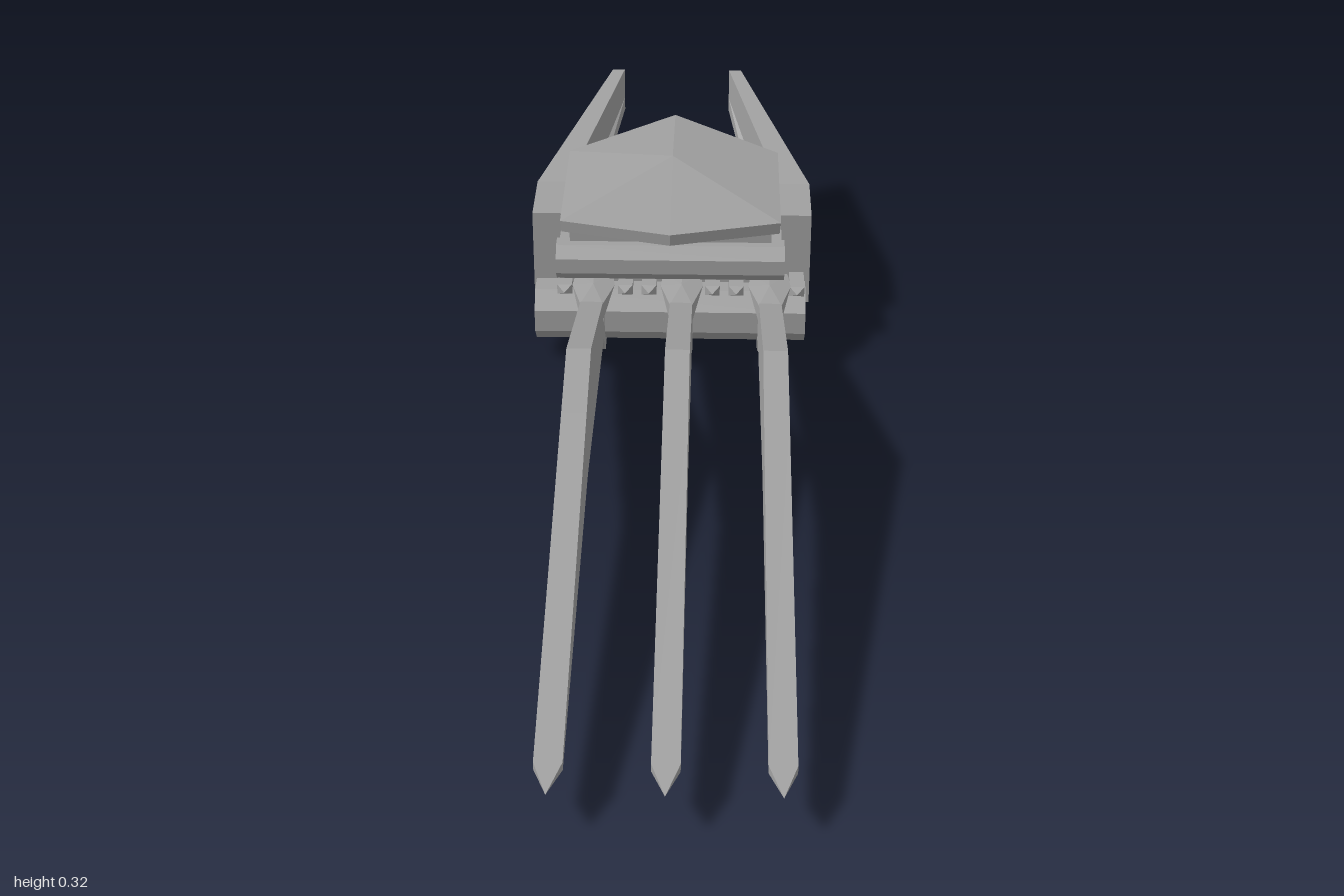
import * as THREE from 'three';
import { ConvexGeometry } from 'three/addons/geometries/ConvexGeometry.js';

export function createModel() {
  const root = new THREE.Group();
  root.name = 'clawGauntlet';
  const steel = new THREE.MeshStandardMaterial({ color: 0xa0a0a0, flatShading: true });
  steel.name = 'steel grey';

  const add = (name, geo, x = 0, y = 0, z = 0) => {
    const m = new THREE.Mesh(geo, steel);
    m.name = name;
    m.position.set(x, y, z);
    root.add(m);
    return m;
  };
  const hull = (name, pts, x = 0) =>
    add(name, new ConvexGeometry(pts.map(p => new THREE.Vector3(...p))), x);
  const box = (name, w, h, d, x, y, z) => add(name, new THREE.BoxGeometry(w, h, d), x, y, z);
  // cylinder lying along x
  const rod = (name, r, len, sides, x, y, z) => {
    const g = new THREE.CylinderGeometry(r, r, len, sides);
    g.rotateY(Math.PI / sides);
    g.rotateZ(Math.PI / 2);
    return add(name, g, x, y, z);
  };
  // skin over rings with equal point counts, capped at both ends
  const loft = (rings) => {
    const n = rings[0].length, pos = rings.flat(2), idx = [];
    for (let r = 0; r < rings.length - 1; r++) {
      for (let i = 0; i < n; i++) {
        const a = r * n + i, b = r * n + (i + 1) % n;
        idx.push(a, b, b + n, a, b + n, a + n);
      }
    }
    const last = (rings.length - 1) * n;
    for (let i = 1; i < n - 1; i++) idx.push(0, i + 1, i, last, last + i, last + i + 1);
    const g = new THREE.BufferGeometry();
    g.setAttribute('position', new THREE.Float32BufferAttribute(pos, 3));
    g.setIndex(idx);
    const flat = g.toNonIndexed();
    flat.computeVertexNormals();
    return flat;
  };

  // Three blades: flat spine, straight sides, V-shaped underside
  const w = 0.021;
  const bladeSections = [ // z, spine, side bottom, keel
    [-0.29, 0.16, 0.08, 0.048],
    [0.11, 0.285, 0.117, 0.088],
    [0.26, 0.25, 0.13, 0.10],
    [0.945, 0.092, 0.078, 0.05],
  ];
  const bladeRings = bladeSections.map(([z, t, s, k]) =>
    [[-w, t, z], [-w, s, z], [0, k, z], [w, s, z], [w, t, z]]);
  bladeRings.push(Array.from({ length: 5 }, () => [0, 0.08, 1.0]));
  for (const x of [-0.145, 0.022, 0.188]) {
    add('blade', loft(bladeRings), x);
    rod('bladeKnuckle', 0.076, 0.042, 12, x, 0.095, -0.365);
    // flared collar where the blade meets the axle
    const collar = [];
    for (const s of [-1, 1]) {
      collar.push([s * 0.021, 0.165, -0.265], [s * 0.021, 0.13, -0.265],
        [s * 0.04, 0.165, -0.34], [s * 0.022, 0.125, -0.34],
        [s * 0.035, 0.165, -0.39], [s * 0.02, 0.12, -0.39]);
    }
    collar.push([0, 0.173, -0.33], [0, 0.17, -0.39]);
    hull('bladeCollar', collar, x);
  }

  // Axle, its end cap and the small catches along it
  rod('axle', 0.057, 0.514, 8, 0, 0.095, -0.375);
  for (const x of [-0.2, -0.085, -0.04, 0.08, 0.125, 0.24]) {
    hull('axleCatch', [[-0.014, 0.145, -0.34], [0.014, 0.145, -0.34],
      [-0.014, 0.165, -0.34], [0.014, 0.165, -0.34], [0, 0.155, -0.325],
      [-0.014, 0.12, -0.4], [0.014, 0.12, -0.4],
      [-0.014, 0.165, -0.4], [0.014, 0.165, -0.4]], x);
  }
  hull('releaseLever', [0.235, 0.252].flatMap(x => [[x, 0.13, -0.41], [x, 0.10, -0.40],
    [x, 0.05, -0.465], [x, 0.075, -0.485]]));

  // Main housing: side profile extruded across the hand
  const profile = new THREE.Shape([
    [0.365, 0.24], [0.365, 0.16], [0.41, 0.15], [0.49, 0.12], [0.49, 0.05],
    [0.70, 0.04], [0.71, 0.13], [0.63, 0.24],
  ].map(p => new THREE.Vector2(...p)));
  const housing = new THREE.ExtrudeGeometry(profile, { depth: 0.42, bevelEnabled: false });
  housing.rotateY(Math.PI / 2);
  housing.translate(-0.21, 0, 0);
  // the shape's x axis now runs towards -z
  add('housing', housing);
  rod('frontRoll', 0.038, 0.43, 8, 0, 0.207, -0.368);
  box('lidNeck', 0.38, 0.03, 0.24, 0, 0.253, -0.49);

  // Belly: two keels with a raised middle
  for (const s of [-1, 1]) {
    hull('bellyKeel', [[s * 0.27, 0.05, -0.49], [0, 0.05, -0.49], [0, 0.04, -0.5],
      [s * 0.215, 0, -0.70], [s * 0.03, 0.04, -0.70], [0, 0.04, -0.70],
      [s * 0.21, 0.10, -0.71], [0, 0.10, -0.71], [s * 0.25, 0.055, -0.63]]);
  }

  // Lid: shallow six-sided dome on a thin slab
  const outline = [[0, -0.305], [0.207, -0.36], [0.207, -0.525],
    [0.207, -0.67], [0, -0.85], [-0.207, -0.67], [-0.207, -0.525], [-0.207, -0.36]];
  const ring = (y, k) => outline.map(([x, z]) => [x * k, y, -0.575 + (z + 0.575) * k]);
  // rings run top to bottom
  add('lid', loft([
    outline.map(() => [0, 0.325, -0.575]),
    ring(0.289, 1), ring(0.266, 0.99),
  ].reverse().map(r => r.slice().reverse()).map(r => r.reverse())));

  // Side guards: front block and a swept fin with a long slot
  for (const s of [-1, 1]) {
    box('guardBlock', 0.06, 0.19, 0.14, s * 0.24, 0.145, -0.56);
    hull('finLower', [
      [s * 0.27, 0.05, -0.49], [s * 0.21, 0.05, -0.49],
      [s * 0.27, 0.05, -0.63], [s * 0.21, 0.05, -0.63],
      [s * 0.27, 0.125, -0.63], [s * 0.21, 0.125, -0.63], [s * 0.215, 0, -0.70],
      [s * 0.135, 0.235, -1], [s * 0.11, 0.235, -1],
      [s * 0.135, 0.262, -1], [s * 0.11, 0.262, -1]]);
    const bar = (name, xo, xi, xo2, xi2, y0, y1, y2, y3) => hull(name, [
      [s * xo, y0, -0.63], [s * xo, y1, -0.63], [s * xi, y0, -0.63], [s * xi, y1, -0.63],
      [s * xo2, y2, -1], [s * xo2, y3, -1], [s * xi2, y2, -1], [s * xi2, y3, -1]]);
    bar('finUpperRail', 0.27, 0.21, 0.135, 0.11, 0.195, 0.24, 0.298, 0.325);
    bar('finCore', 0.245, 0.21, 0.124, 0.11, 0.12, 0.20, 0.258, 0.30);
    bar('finSlotRib', 0.26, 0.24, 0.13, 0.12, 0.15, 0.17, 0.275, 0.284);
  }
  return root;
}
